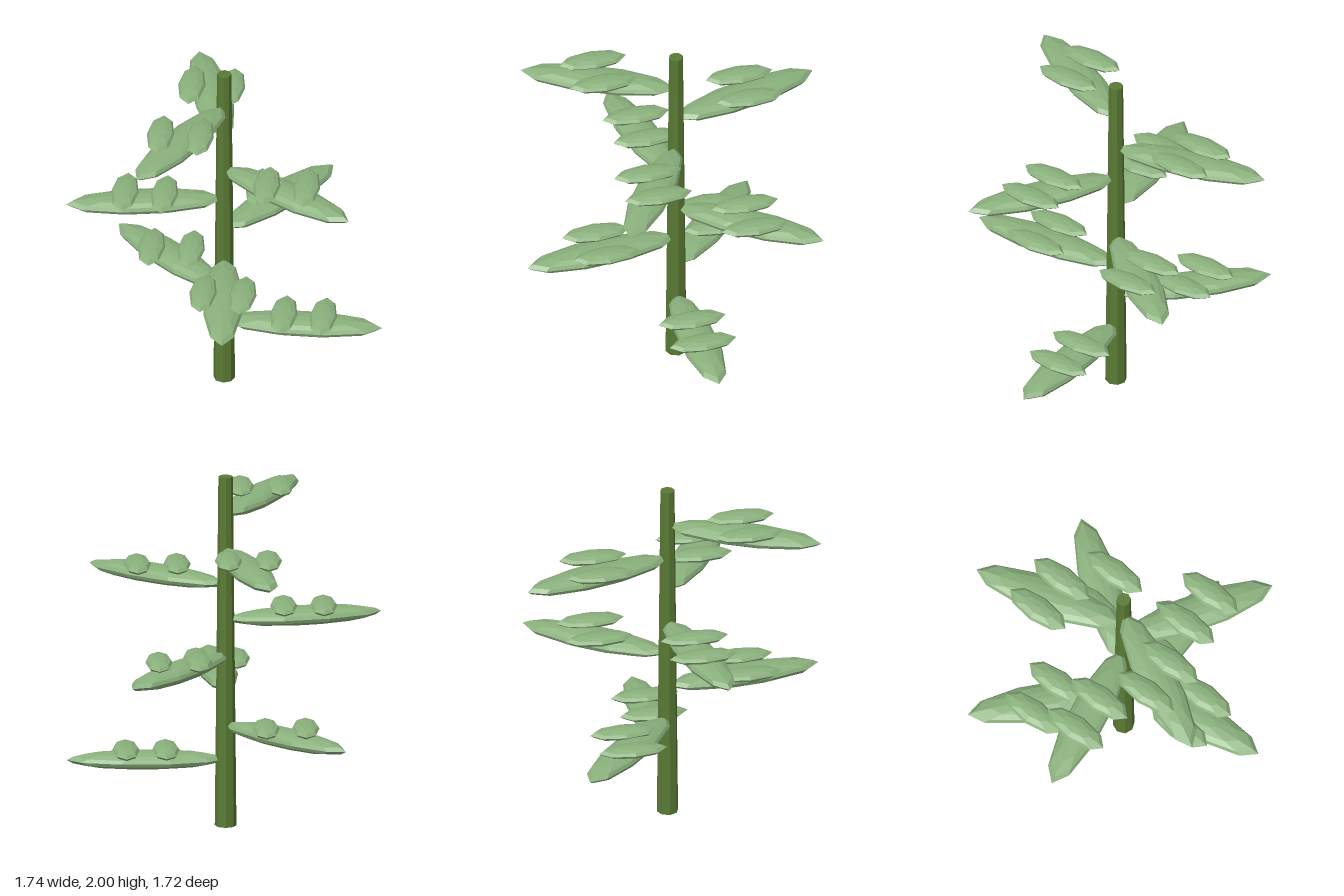
import * as THREE from 'three';

// Ellipsoid with flat facets, poles up and down
function facetedEllipsoid(rx, ry, rz, around, rows) {
  const geometry = new THREE.SphereGeometry(1, around, rows).toNonIndexed();
  geometry.scale(rx, ry, rz);
  geometry.computeVertexNormals();
  return geometry;
}

export function createModel() {
  const stemGreen = new THREE.MeshStandardMaterial({ color: 0x5a7a34 });
  stemGreen.name = 'stem green';
  const leafGreen = new THREE.MeshStandardMaterial({ color: 0x8ab07c });
  leafGreen.name = 'leaf green';

  const model = new THREE.Group();
  model.name = 'plant';

  function addMesh(name, geometry, material, x, y, z, turn = 0) {
    const mesh = new THREE.Mesh(geometry, material);
    mesh.name = name;
    mesh.position.set(x, y, z);
    mesh.rotation.y = turn;
    model.add(mesh);
  }

  // Tapered eight-sided stem
  const stemX = -0.01, stemZ = -0.013;
  const stem = new THREE.CylinderGeometry(0.04, 0.06, 2, 8).toNonIndexed();
  stem.computeVertexNormals();
  addMesh('stem', stem, stemGreen, stemX, 1, stemZ);

  // Leaves climb the stem in a golden-angle spiral, each carrying two leaflets
  const leaf = facetedEllipsoid(0.437, 0.05, 0.11, 10, 8);
  const leaflet = facetedEllipsoid(0.076, 0.031, 0.192, 8, 6);
  const reach = 0.44;
  for (let i = 0; i < 8; i++) {
    const angle = THREE.MathUtils.degToRad(137.5 * i);
    const x = stemX + Math.cos(angle) * reach;
    const z = stemZ - Math.sin(angle) * reach;
    const y = 0.38 + 0.2 * i;
    addMesh('leaf', leaf, leafGreen, x, y, z, angle);
    for (const side of [-1, 1]) {
      addMesh('leaflet', leaflet, leafGreen, x + side * 0.11, y + 0.054, z);
    }
  }

  return model;
}
